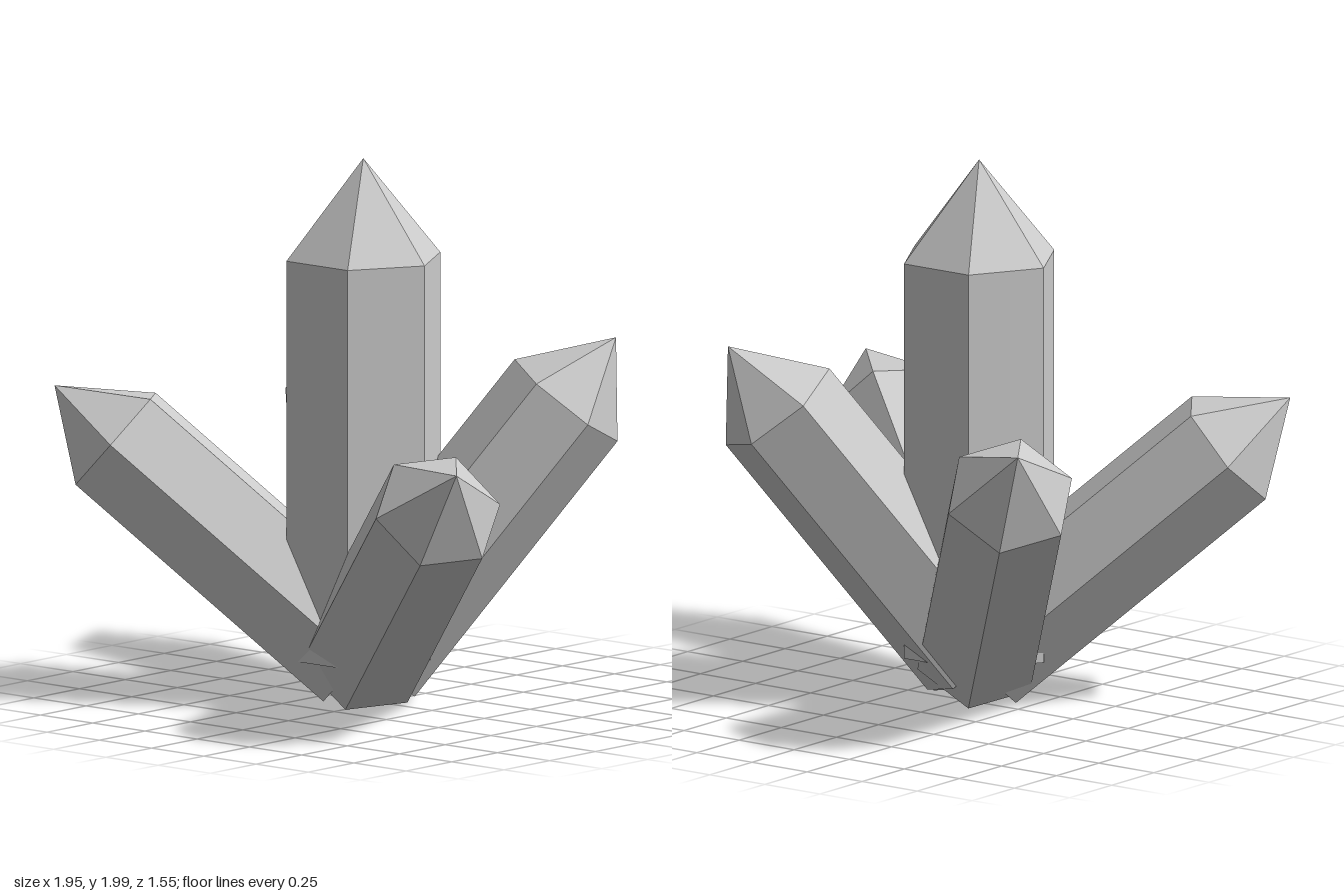
import * as THREE from 'three';

const SIDES = 6;
const RADIUS = 0.293;
const BODY = 1.46; // height of the prism
const HEIGHT = 1.82; // prism plus pointed tip
const ROOT = new THREE.Vector3(-0.035, 0.18, 0.05); // where all crystals meet

// Hexagonal prism with a pyramid tip, growing along +y, one corner on +x
function crystalGeometry() {
  const profile = [[0, 0], [RADIUS, 0], [RADIUS, BODY], [0, HEIGHT]]
    .map(([r, y]) => new THREE.Vector2(r, y));
  return new THREE.LatheGeometry(profile, SIDES).rotateY(Math.PI / 2);
}

export function createModel() {
  const group = new THREE.Group();
  group.name = 'crystalCluster';
  const material = new THREE.MeshStandardMaterial({ color: 0xcccccc, flatShading: true });
  const geometry = crystalGeometry();

  // tip: position of the point; corner: direction from the axis to one edge
  const crystals = [
    { name: 'mainCrystal', tip: [-0.035, 2, 0.05], corner: [1, 0, 0] },
    { name: 'frontLeftCrystal', tip: [0.97, 1.04, 0.69], corner: [0.118, 0.013, -0.203] },
    { name: 'frontRightCrystal', tip: [-0.98, 1.14, 0.66], corner: [-0.14, -0.018, -0.188] },
    { name: 'backLeftCrystal', tip: [0.615, 1.335, -0.59], corner: [0.204, -0.052, 0.113] },
    { name: 'backRightCrystal', tip: [-0.82, 1.155, -0.745], corner: [0.132, -0.049, -0.19] },
  ];

  for (const { name, tip, corner } of crystals) {
    const axis = new THREE.Vector3(...tip).sub(ROOT);
    const scale = axis.length() / HEIGHT;
    axis.normalize();
    const across = new THREE.Vector3(...corner).projectOnPlane(axis).normalize();
    const third = new THREE.Vector3().crossVectors(across, axis);

    const mesh = new THREE.Mesh(geometry, material);
    mesh.name = name;
    mesh.position.copy(ROOT);
    mesh.quaternion.setFromRotationMatrix(new THREE.Matrix4().makeBasis(across, axis, third));
    mesh.scale.setScalar(scale);
    group.add(mesh);
  }
  return group;
}
